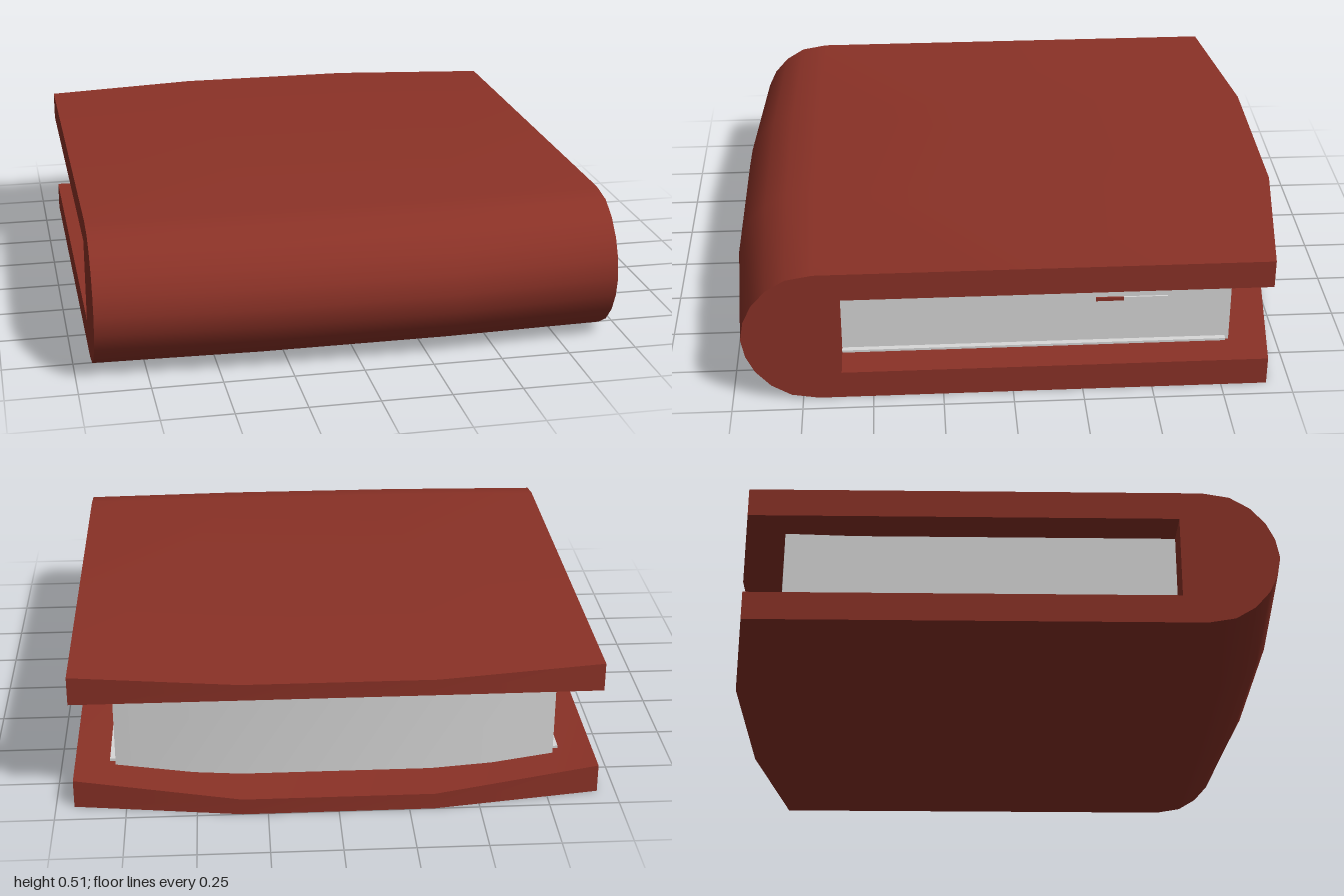
import * as THREE from 'three';
import { toCreasedNormals } from 'three/addons/utils/BufferGeometryUtils.js';

const KNEE = 0.34; // half width of the straight middle section

// Extrudes a [z, y] profile along x in three sections, then bends it by a rule
function sweep(profile, half, bend) {
  const shape = new THREE.Shape(profile.map(([z, y]) => new THREE.Vector2(z, y)));
  const geo = new THREE.ExtrudeGeometry(shape, { depth: half * 2, steps: 3, bevelEnabled: false });
  geo.translate(0, 0, -half);
  geo.rotateY(-Math.PI / 2);
  const p = geo.attributes.position;
  for (let i = 0; i < p.count; i++) {
    const end = Math.abs(p.getX(i)) > half * 0.9;
    if (!end) p.setX(i, Math.sign(p.getX(i)) * KNEE);
    const [z, y] = bend(p.getZ(i), p.getY(i), end);
    p.setY(i, y);
    p.setZ(i, z);
  }
  return toCreasedNormals(geo, 0.75);
}

export function createModel() {
  const leather = new THREE.MeshStandardMaterial({ color: 0x8b3227 });
  leather.name = 'redLeather';
  const paper = new THREE.MeshStandardMaterial({ color: 0xd8d8d8 });
  paper.name = 'greyPaper';

  const book = new THREE.Group();
  book.name = 'book';
  const add = (name, geo, mat) => {
    const mesh = new THREE.Mesh(geo, mat);
    mesh.name = name;
    book.add(mesh);
    return mesh;
  };

  // Cover: two boards joined by a rounded spine, mirrored about mid height
  const MID = 0.258;
  const upper = [[1, MID], [0.985, 0.33], [0.95, 0.395], [0.89, 0.455], [0.81, 0.498], [0.7, 0.515],
    [-1, 0.515], [-1, 0.41], [0.61, 0.41]];
  const lower = upper.slice(1).reverse().map(([z, y]) => [z, 2 * MID - y]);
  const cover = sweep([...upper, ...lower], 0.935, (z, y, end) => {
    if (end) {
      if (z < -0.9) z = -0.915;
      else if (z > 0.65) z -= 0.042 * (z - 0.65) / 0.35;
    } else if (z < -0.9 && Math.abs(y - MID) < 0.2) {
      y += Math.sign(y - MID) * 0.045; // boards thin out towards the middle
    }
    return [z, y];
  });
  add('cover', cover, leather);

  // Page block with a bowed fore edge, seated slightly into the boards
  const pages = sweep([[0.63, 0.078], [0.63, 0.44], [-0.85, 0.44], [-0.85, 0.078]], 0.79,
    (z, y, end) => [end && z < 0 ? -0.795 : z, y]);
  add('pages', pages, paper);

  // Endpaper showing just past the foot of the page block
  const endpaper = sweep([[0.62, 0.106], [0.62, 0.115], [-0.8, 0.115], [-0.8, 0.106]], 0.81,
    (z, y, end) => [end && z < 0 ? -0.78 : z, y]);
  add('endpaper', endpaper, paper);

  // Page marker peeking out of one side
  add('markerTip', new THREE.BoxGeometry(0.012, 0.014, 0.1), leather).position.set(0.79, 0.29, -0.355);
  add('markerSheet', new THREE.BoxGeometry(0.012, 0.014, 0.16), paper).position.set(0.79, 0.29, -0.485);

  return book;
}
